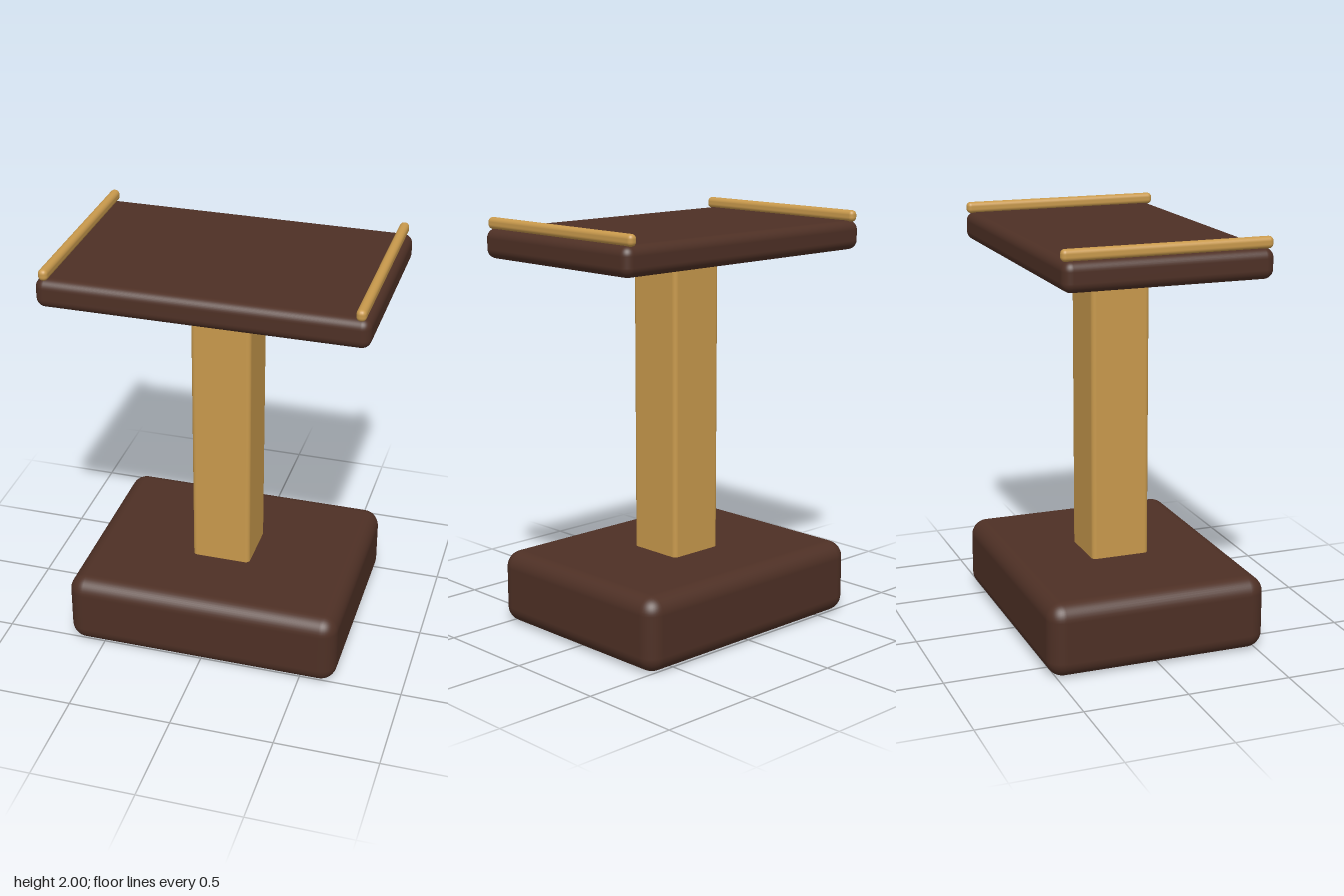
import * as THREE from 'three';
import { RoundedBoxGeometry } from 'three/addons/geometries/RoundedBoxGeometry.js';

export function createModel() {
  const darkWood = new THREE.MeshStandardMaterial({ color: 0x4e3025 });
  darkWood.name = 'darkWood';
  const goldenWood = new THREE.MeshStandardMaterial({ color: 0xc8994c });
  goldenWood.name = 'goldenWood';

  const model = new THREE.Group();
  model.name = 'pedestalTable';

  // Rounded block standing on y = bottom
  function block(name, material, [w, h, d], radius, bottom, x = 0) {
    const mesh = new THREE.Mesh(new RoundedBoxGeometry(w, h, d, 5, radius), material);
    mesh.name = name;
    mesh.position.set(x, bottom + h / 2, 0);
    model.add(mesh);
  }

  // Heavy foot, square post and flat top
  block('base', darkWood, [1.35, 0.36, 1.08], 0.08, 0);
  block('post', goldenWood, [0.29, 1.47, 0.29], 0.022, 0.34);
  block('tabletop', darkWood, [1.53, 0.14, 0.99], 0.045, 1.81);

  // Raised edge rails at both ends
  block('leftRail', goldenWood, [0.045, 0.055, 0.99], 0.021, 1.945, 0.72);
  block('rightRail', goldenWood, [0.045, 0.055, 0.99], 0.021, 1.945, -0.72);

  return model;
}
